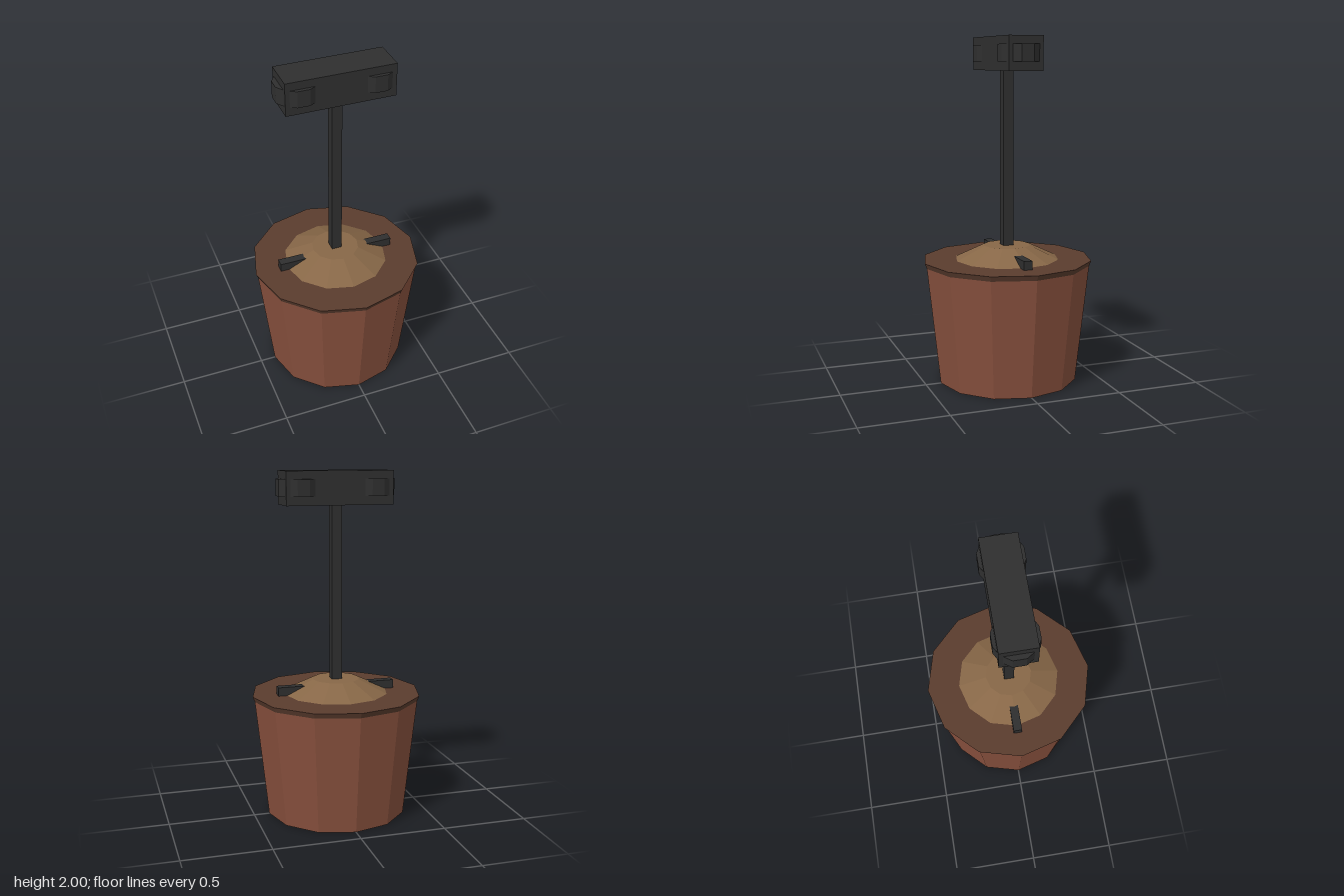
import * as THREE from 'three';

const flat = (name, color) => {
  const m = new THREE.MeshStandardMaterial({ color, flatShading: true });
  m.name = name;
  return m;
};

export function createModel() {
  const clay = flat('clay', 0x87503d);
  const rimBrown = flat('rimBrown', 0x5a3c2e);
  const soil = flat('soil', 0x876747);
  const black = flat('black', 0x2f2f2f);

  const model = new THREE.Group();
  model.name = 'plungerBarrel';

  const add = (name, geometry, material, x = 0, y = 0, z = 0) => {
    const mesh = new THREE.Mesh(geometry, material);
    mesh.name = name;
    mesh.position.set(x, y, z);
    model.add(mesh);
    return mesh;
  };

  // Twelve-sided tapered ring between two heights
  const frustum = (name, rBottom, rTop, y0, y1, material) =>
    add(name, new THREE.CylinderGeometry(rTop, rBottom, y1 - y0, 12), material, 0, (y0 + y1) / 2, 0);

  frustum('barrelBody', 0.41, 0.485, 0, 0.69, clay);
  frustum('lid', 0.485, 0.497, 0.69, 0.72, rimBrown);
  frustum('mound', 0.305, 0.138, 0.72, 0.8, soil);

  // Bar emerging from both sides of the mound, and the upright pole
  add('crossBar', new THREE.BoxGeometry(0.7, 0.05, 0.05), black, 0, 0.745, 0);
  add('pole', new THREE.BoxGeometry(0.06, 1.07, 0.06), black, 0, 1.275, 0);
  add('head', new THREE.BoxGeometry(0.62, 0.19, 0.2), black, 0, 1.905, 0);

  // Raised grip pads: trapezoid in plan, straight up and down
  const padGeometry = (baseHalf, topHalf, depth) => {
    const shape = new THREE.Shape([
      new THREE.Vector2(-baseHalf, 0),
      new THREE.Vector2(baseHalf, 0),
      new THREE.Vector2(topHalf, -depth),
      new THREE.Vector2(-topHalf, -depth),
    ]);
    const g = new THREE.ExtrudeGeometry(shape, { depth: 0.095, bevelEnabled: false });
    return g.rotateX(-Math.PI / 2).translate(0, -0.0475, 0);
  };
  const sidePad = padGeometry(0.07, 0.035, 0.02);
  const endPad = padGeometry(0.077, 0.035, 0.028);
  for (const s of [-1, 1]) {
    for (const x of [-0.215, 0.215]) {
      add('sidePad', sidePad, black, x, 1.907, s * 0.1).rotation.y = s > 0 ? 0 : Math.PI;
    }
    add('endPad', endPad, black, s * 0.31, 1.907, 0).rotation.y = s * Math.PI / 2;
  }

  return model;
}
